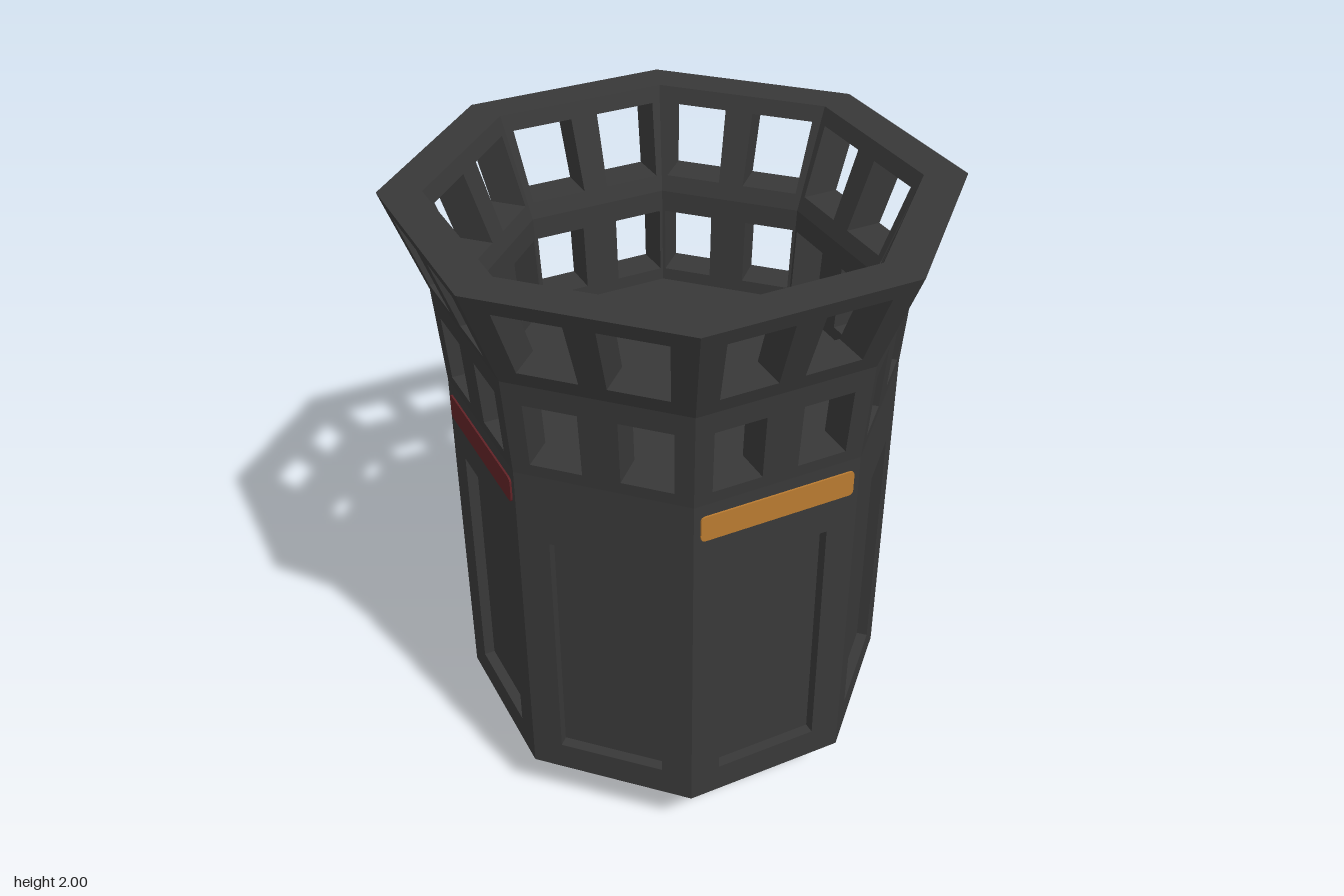
import * as THREE from 'three';

const STEP = Math.PI / 4;
const COS = Math.cos(STEP / 2), TAN = Math.tan(STEP / 2);

const charcoal = new THREE.MeshStandardMaterial({ color: 0x383838 });
charcoal.name = 'charcoal';
const red = new THREE.MeshStandardMaterial({ color: 0x602226 });
red.name = 'dark red';
const amber = new THREE.MeshStandardMaterial({ color: 0xb87a30 });
amber.name = 'amber';

// Eight-sided drum with flat facets and a corner on each axis
function drum(name, rTop, rBottom, y0, y1) {
  const g = new THREE.CylinderGeometry(rTop, rBottom, y1 - y0, 8).toNonIndexed();
  g.computeVertexNormals();
  g.translate(0, (y0 + y1) / 2, 0);
  const mesh = new THREE.Mesh(g, charcoal);
  mesh.name = name;
  return mesh;
}

function outline(path, points) {
  points.forEach(([x, y], i) => (i ? path.lineTo(x, y) : path.moveTo(x, y)));
  path.closePath();
  return path;
}

// One side of an octagonal ring. Shape x runs -1..1 over the side's width,
// and the depth runs from the inner radius to the outer one.
// holes: [x0, x1, y0, y1]
function wallSide({ y0, y1, outer, inner, holes }) {
  const shape = outline(new THREE.Shape(), [[-1, y0], [1, y0], [1, y1], [-1, y1]]);
  for (const [a, b, c, d] of holes) {
    shape.holes.push(outline(new THREE.Path(), [[a, c], [a, d], [b, d], [b, c]]));
  }
  const g = new THREE.ExtrudeGeometry(shape, { depth: 1, bevelEnabled: false });
  const p = g.attributes.position;
  for (let i = 0; i < p.count; i++) {
    const u = p.getX(i), y = p.getY(i), t = (y - y0) / (y1 - y0);
    const rOut = THREE.MathUtils.lerp(outer[0], outer[1], t) * COS;
    const rIn = THREE.MathUtils.lerp(inner[0], inner[1], t) * COS;
    const z = THREE.MathUtils.lerp(rIn, rOut, p.getZ(i));
    // corners are mitred, hole sides run straight through
    const half = (Math.abs(u) > 0.999 ? z : rOut) * TAN;
    p.setXYZ(i, u * half, y, z);
  }
  g.computeVertexNormals();
  return g;
}

// Thin strip with rounded corners
function bandGeometry(w, h, r) {
  const s = new THREE.Shape();
  const x = w / 2, y = h / 2;
  s.moveTo(-x + r, -y);
  s.lineTo(x - r, -y);
  s.quadraticCurveTo(x, -y, x, -y + r);
  s.lineTo(x, y - r);
  s.quadraticCurveTo(x, y, x - r, y);
  s.lineTo(-x + r, y);
  s.quadraticCurveTo(-x, y, -x, y - r);
  s.lineTo(-x, -y + r);
  s.quadraticCurveTo(-x, -y, -x + r, -y);
  return new THREE.ExtrudeGeometry(s, { depth: 0.006, bevelEnabled: false, curveSegments: 4 });
}

export function createModel() {
  const model = new THREE.Group();
  model.name = 'octagonalBasket';

  // Foot, chamfer and the solid core whose top is the basket floor
  model.add(
    drum('foot', 0.49, 0.49, 0, 0.11),
    drum('chamfer', 0.707, 0.6, 0.1, 0.18),
    drum('core', 0.669, 0.669, 0.17, 1.36)
  );

  // Rings of walls, from bottom to top
  const sides = {
    bodyPanel: wallSide({
      y0: 0.18, y1: 1.36, outer: [0.707, 0.707], inner: [0.668, 0.668],
      holes: [[-0.635, 0.635, 0.28, 1.12]]
    }),
    lowerWindows: wallSide({
      y0: 1.36, y1: 1.68, outer: [0.707, 0.733], inner: [0.583, 0.605],
      holes: [[-0.79, -0.21, 1.4, 1.61], [0.21, 0.79, 1.4, 1.61]]
    }),
    upperWindows: wallSide({
      y0: 1.68, y1: 2, outer: [0.733, 0.856], inner: [0.605, 0.725],
      holes: [[-0.76, -0.14, 1.73, 1.95], [0.14, 0.76, 1.73, 1.95]]
    })
  };
  const band = bandGeometry(0.5, 0.085, 0.016);
  band.translate(0, 1.278, 0.707 * COS);
  const bandColours = { 1: amber, 3: red, 5: amber, 7: red };

  for (let k = 0; k < 8; k++) {
    const side = new THREE.Group();
    side.name = `side${k + 1}`;
    side.rotation.y = (k + 0.5) * STEP;
    for (const [name, geometry] of Object.entries(sides)) {
      const mesh = new THREE.Mesh(geometry, charcoal);
      mesh.name = name;
      side.add(mesh);
    }
    // Coloured bands on every other side
    if (bandColours[k]) {
      const mesh = new THREE.Mesh(band, bandColours[k]);
      mesh.name = 'colourBand';
      side.add(mesh);
    }
    model.add(side);
  }
  return model;
}
